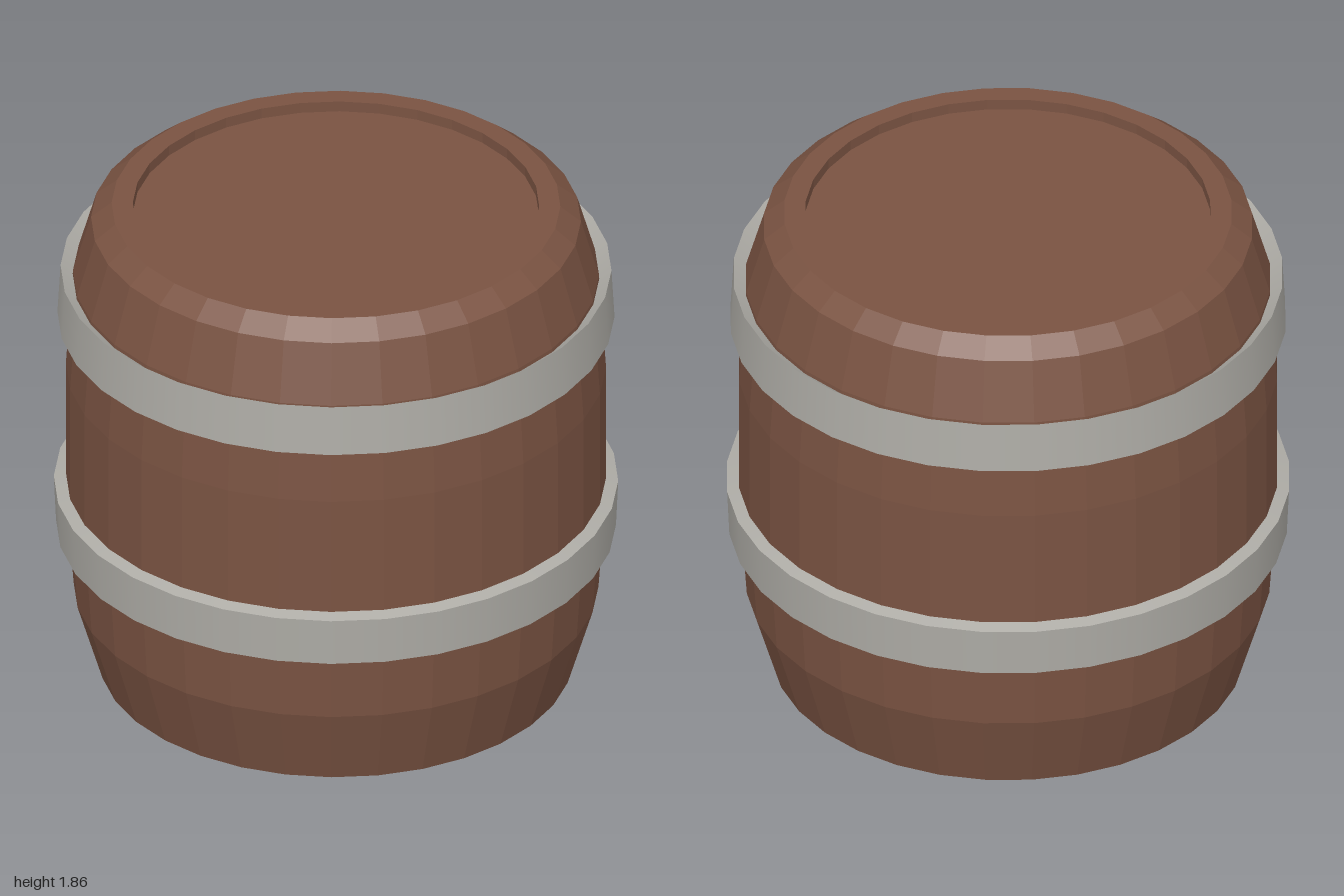
import * as THREE from 'three';
import { mergeGeometries } from 'three/addons/utils/BufferGeometryUtils.js';

const SIDES = 32;

const lathe = (profile) =>
  new THREE.LatheGeometry(profile.map(([r, y]) => new THREE.Vector2(r, y)), SIDES);

// Faceted surface of revolution
function faceted(profile) {
  const geometry = lathe(profile).toNonIndexed();
  geometry.computeVertexNormals();
  return geometry;
}

// Round surface with sharp edges between the strips of its profile
function ring(profile) {
  return mergeGeometries(profile.slice(1).map((p, i) => lathe([profile[i], p])));
}

export function createModel() {
  const wood = new THREE.MeshStandardMaterial({ color: 0x7a5342 });
  wood.name = 'brown wood';
  const metal = new THREE.MeshStandardMaterial({ color: 0xaeaca6 });
  metal.name = 'grey metal';

  const barrel = new THREE.Group();
  barrel.name = 'barrel';
  const add = (name, geometry, material) => {
    const mesh = new THREE.Mesh(geometry, material);
    mesh.name = name;
    barrel.add(mesh);
  };

  // Bulging wall with its bottom and top rims
  add('staves', faceted([
    [0.79, 0.08], [0.79, 0], [0.84, 0], [0.93, 0.3], [0.957, 0.7], [0.957, 1.2],
    [0.932, 1.58], [0.868, 1.8], [0.795, 1.86], [0.72, 1.86], [0.72, 1.82],
  ]), wood);

  // Recessed ends
  add('bottomLid', faceted([[0, 0.08], [0.79, 0.08]]), wood);
  add('topLid', faceted([[0.72, 1.82], [0, 1.82]]), wood);

  // Hoops, leaning slightly with the wall
  add('lowerHoop', ring([[0.935, 0.595], [0.992, 0.555], [1, 0.735], [0.945, 0.752]]), metal);
  add('upperHoop', ring([[0.935, 1.393], [0.987, 1.41], [0.976, 1.6], [0.925, 1.56]]), metal);

  return barrel;
}
